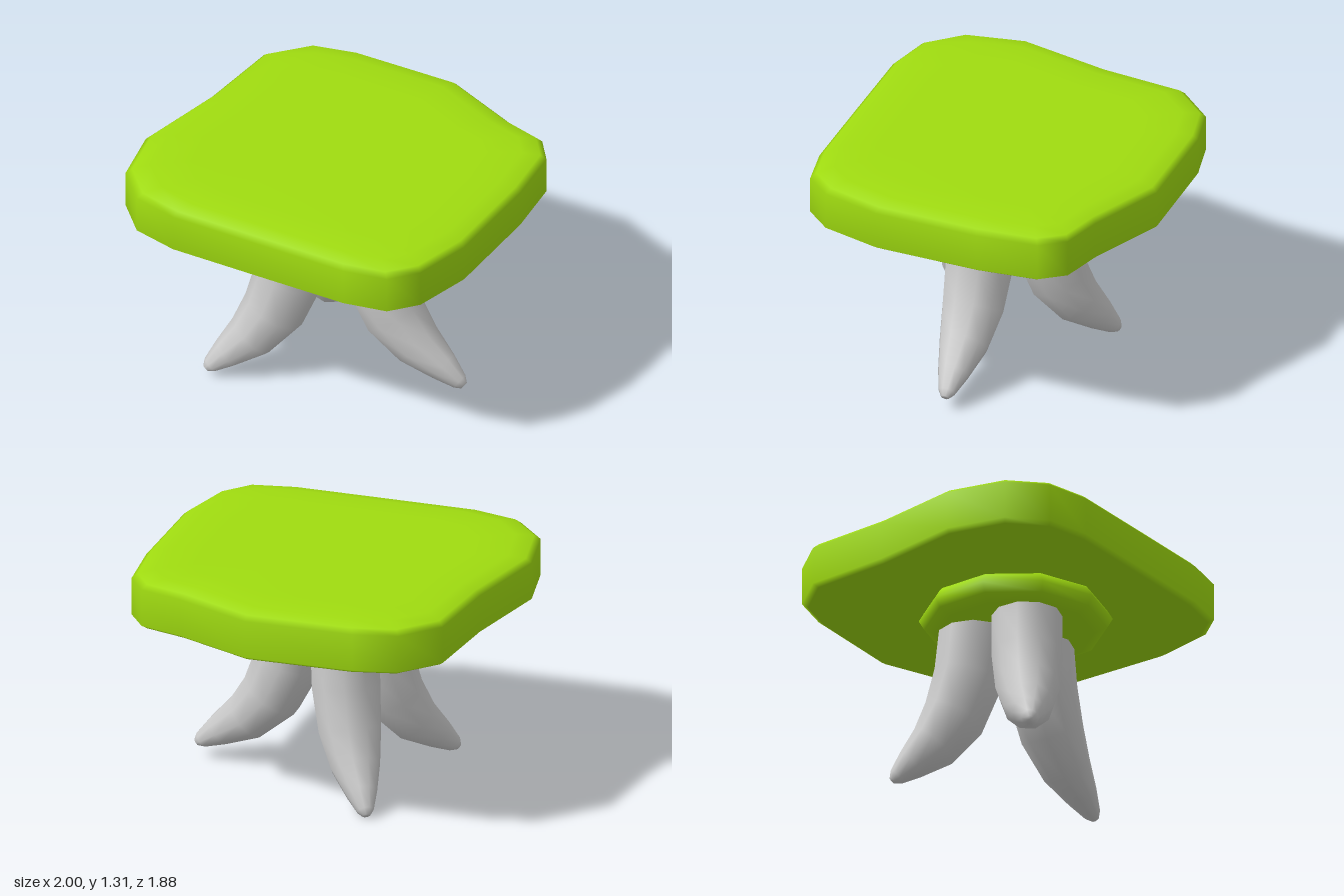
import * as THREE from 'three';

// Skin a closed surface over equal-length rings, each counter-clockwise about the travel direction
function loft(rings) {
  const n = rings[0].length, index = [];
  const closed = [rings[0], ...rings.slice(1)];
  const points = closed.flat();
  for (let r = 0; r < closed.length - 1; r++) {
    for (let i = 0; i < n; i++) {
      const j = (i + 1) % n;
      const a = r * n + i, b = r * n + j, c = a + n, d = b + n;
      index.push(a, b, c, b, d, c);
    }
  }
  // End caps fan out from the middle of the first and last ring
  const middle = (ring) => ring.reduce((s, p) => s.add(p), new THREE.Vector3()).divideScalar(n);
  const first = points.length, last = first + 1, base = (closed.length - 1) * n;
  points.push(middle(closed[0]), middle(closed[closed.length - 1]));
  for (let i = 0; i < n; i++) {
    const j = (i + 1) % n;
    index.push(first, j, i, last, base + i, base + j);
  }
  const geometry = new THREE.BufferGeometry().setFromPoints(points);
  geometry.setIndex(index);
  geometry.computeVertexNormals();
  return geometry;
}

// Stack scaled copies of a flat outline: levels are [y, scale]
const stack = (outline, levels) =>
  loft(levels.map(([y, s]) => outline.map(([x, z]) => new THREE.Vector3(x * s, y, z * s))));

// Curved, tapering leg from a top point to a tip point
function legGeometry(top, tip) {
  // [share of the outward run, share of the drop, radius]
  const profile = [
    [-0.01, -0.08, 0.185], [0, 0, 0.193], [0.07, 0.31, 0.192], [0.25, 0.58, 0.175],
    [0.51, 0.775, 0.138], [0.79, 0.9, 0.088], [0.97, 0.985, 0.047], [1.02, 1.01, 0.022],
  ];
  const path = profile.map(([t, d]) => new THREE.Vector3(
    THREE.MathUtils.lerp(top.x, tip.x, t),
    THREE.MathUtils.lerp(top.y, tip.y, d),
    THREE.MathUtils.lerp(top.z, tip.z, t)));
  const out = new THREE.Vector3(tip.x - top.x, 0, tip.z - top.z).normalize();
  const side = new THREE.Vector3(0, 1, 0).cross(out);
  const sides = 10;
  return loft(path.map((p, k) => {
    const dir = path[Math.min(k + 1, path.length - 1)].clone()
      .sub(path[Math.max(k - 1, 0)]).normalize();
    const across = dir.clone().cross(side);
    return Array.from({ length: sides }, (_, i) => {
      const a = (i / sides) * Math.PI * 2, r = profile[k][2];
      return p.clone().addScaledVector(side, Math.cos(a) * r)
        .addScaledVector(across, Math.sin(a) * r);
    });
  }));
}

export function createModel() {
  const model = new THREE.Group();
  model.name = 'mushroomTable';
  const green = new THREE.MeshStandardMaterial({ color: 0xa0dc10 });
  const grey = new THREE.MeshStandardMaterial({ color: 0xcccccc });
  const add = (name, geometry, material) => {
    const mesh = new THREE.Mesh(geometry, material);
    mesh.name = name;
    model.add(mesh);
    return mesh;
  };

  // Irregular slab with softened rims
  const outline = [
    [-0.71, -0.83], [-0.47, -0.9], [0.14, -0.945], [0.58, -0.79], [0.82, -0.74], [0.93, -0.61],
    [0.98, -0.27], [1, 0.33], [0.93, 0.66], [0.81, 0.81], [0.57, 0.87], [0.1, 0.9],
    [-0.48, 0.935], [-0.74, 0.89], [-0.92, 0.72], [-1, 0.39], [-0.91, -0.14], [-0.885, -0.62],
  ].reverse();
  add('tableTop', stack(outline, [
    [1.045, 0.9], [1.045, 0.97], [1.065, 1], [1.275, 1], [1.302, 0.97], [1.32, 0.88], [1.328, 0.7],
  ]), green);

  // Rounded collar joining the legs to the slab
  const ring = Array.from({ length: 10 }, (_, i) => {
    const a = ((i + 0.5) / 10) * Math.PI * 2;
    return [Math.cos(a), -Math.sin(a)];
  });
  const collar = add('collar', stack(ring, [
    [0.9, 0.36], [0.9, 0.43], [0.93, 0.495], [0.98, 0.525], [1.03, 0.495], [1.06, 0.47],
  ]), green);
  collar.position.set(0.015, 0, 0.07);

  // Three splayed legs
  const legs = {
    leftLeg: [[0.235, 0.9, 0.055], [0.785, 0.105, 0.01]],
    frontRightLeg: [[-0.125, 0.9, 0.255], [-0.495, 0.065, 0.56]],
    backRightLeg: [[-0.115, 0.9, -0.12], [-0.375, 0.04, -0.46]],
  };
  for (const [name, [top, tip]] of Object.entries(legs)) {
    add(name, legGeometry(new THREE.Vector3(...top), new THREE.Vector3(...tip)), grey);
  }
  return model;
}
